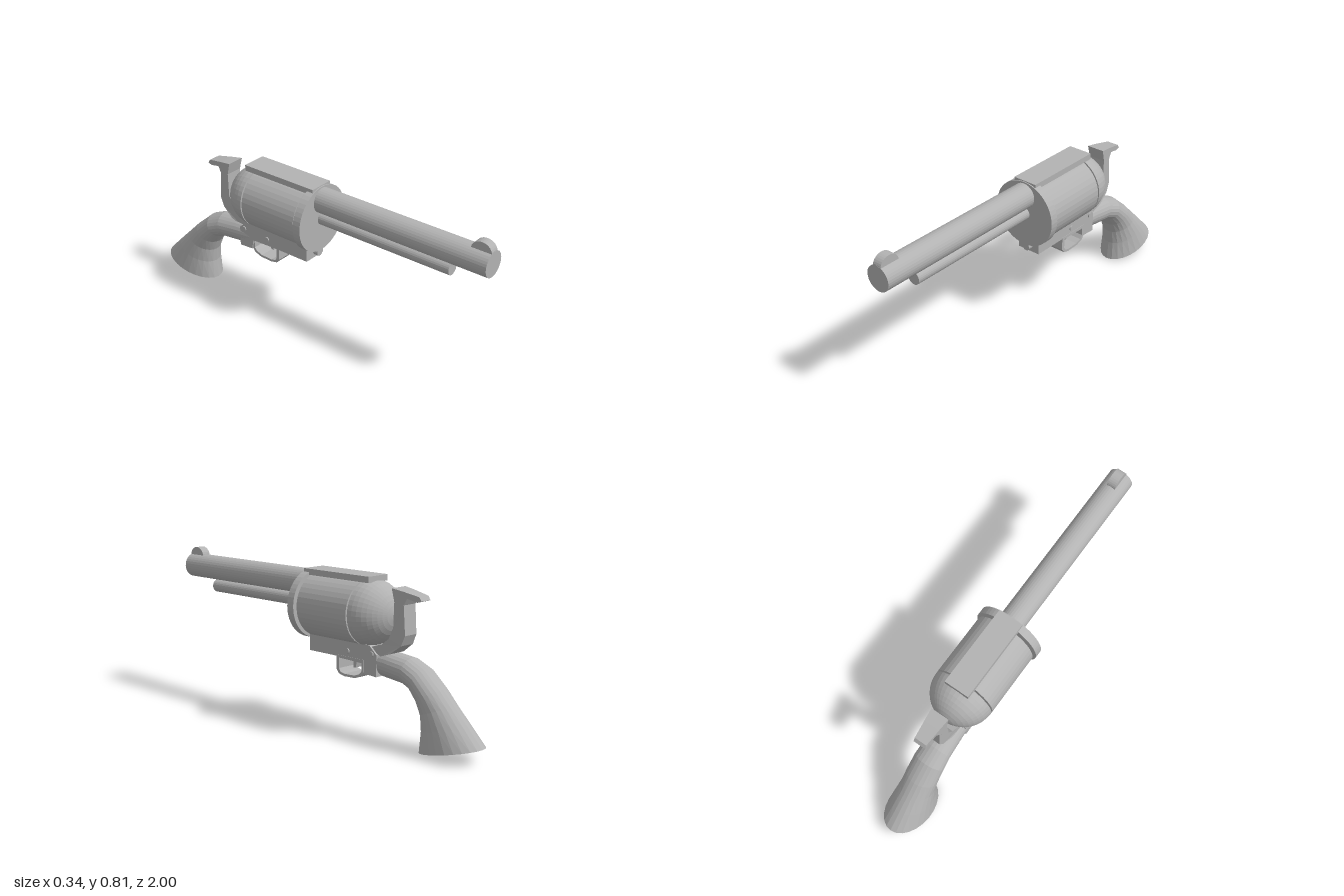
import * as THREE from 'three';

const steel = new THREE.MeshStandardMaterial({ color: 0xb2b2b2, flatShading: true });
steel.name = 'grey steel';

export function createModel() {
  const model = new THREE.Group();
  model.name = 'revolver';

  const add = (name, geometry) => {
    const mesh = new THREE.Mesh(geometry, steel);
    mesh.name = name;
    model.add(mesh);
    return mesh;
  };

  // round bar along z between two z values
  const bar = (name, r, y, z0, z1, sides = 32) =>
    add(name, new THREE.CylinderGeometry(r, r, z1 - z0, sides).rotateX(Math.PI / 2).translate(0, y, (z0 + z1) / 2));

  // side profile of [z, y] points given a width across x
  const toPoints = (list) => list.map(([z, y]) => new THREE.Vector2(z, y));
  const slab = (name, outline, x0, x1, hole) => {
    const shape = new THREE.Shape(toPoints(outline));
    if (hole) shape.holes.push(new THREE.Path(toPoints(hole)));
    const g = new THREE.ExtrudeGeometry(shape, { depth: x1 - x0, bevelEnabled: false });
    return add(name, g.rotateY(-Math.PI / 2).translate(x1, 0, 0));
  };

  // barrel, rod and drum
  bar('barrel', 0.064, 0.708, 0.03, 1);
  bar('ejectorRod', 0.034, 0.611, 0.03, 0.8, 24);
  bar('frontFlange', 0.172, 0.607, 0.016, 0.058, 48);
  bar('drum', 0.16, 0.607, -0.323, 0.005, 40);
  bar('drumAxle', 0.045, 0.607, -0.34, 0.03, 20);
  bar('framePin', 0.02, 0.412, 0, 0.045, 16);

  // rounded recoil shield behind the drum
  const dome = [];
  for (let i = 0; i <= 10; i++) {
    const a = (i / 10) * Math.PI / 2;
    dome.push(new THREE.Vector2(0.16 * Math.cos(a), 0.16 * Math.sin(a)));
  }
  dome[10].x = 0;
  dome.unshift(new THREE.Vector2(0, 0));
  add('recoilShield', new THREE.LatheGeometry(dome, 40).rotateX(-Math.PI / 2).translate(0, 0.607, -0.331));

  // strap over the drum
  add('topStrap', new THREE.BoxGeometry(0.13, 0.03, 0.43).translate(0, 0.768, -0.163));

  // half-round front sight
  const sight = [];
  for (let i = 0; i <= 14; i++) {
    const a = (i / 14) * Math.PI;
    sight.push([0.948 + 0.052 * Math.cos(a), 0.765 + 0.045 * Math.sin(a)]);
  }
  slab('frontSight', [...sight, [0.896, 0.75], [1, 0.75]], -0.023, 0.023);

  // lower frame
  slab('lowerFrame', [
    [0.018, 0.46], [0.018, 0.378], [-0.17, 0.378], [-0.335, 0.372], [-0.345, 0.32],
    [-0.425, 0.315], [-0.425, 0.42], [-0.38, 0.46],
  ], -0.07, 0.058);

  // trigger guard loop and trigger
  slab('triggerGuard', [
    [-0.168, 0.385], [-0.168, 0.315], [-0.185, 0.294], [-0.22, 0.286], [-0.29, 0.288],
    [-0.33, 0.302], [-0.347, 0.325], [-0.347, 0.385],
  ], -0.063, 0.06, [
    [-0.185, 0.372], [-0.333, 0.368], [-0.333, 0.328], [-0.318, 0.311], [-0.285, 0.3],
    [-0.22, 0.298], [-0.195, 0.304], [-0.185, 0.32],
  ]);
  slab('trigger', [
    [-0.235, 0.385], [-0.243, 0.35], [-0.245, 0.325], [-0.258, 0.328], [-0.264, 0.355], [-0.268, 0.385],
  ], -0.02, 0.02);

  // cross pins showing on both sides of the frame
  for (const [z, y] of [[-0.24, 0.412], [-0.395, 0.42]]) {
    add('crossPin', new THREE.CylinderGeometry(0.013, 0.013, 0.14, 14).rotateZ(Math.PI / 2).translate(-0.006, y, z));
  }

  // hammer, narrowing towards the thumb spur
  const hammer = slab('hammer', [
    [-0.505, 0.742], [-0.57, 0.732], [-0.655, 0.716], [-0.668, 0.697], [-0.645, 0.69], [-0.59, 0.702],
    [-0.572, 0.67], [-0.582, 0.53], [-0.56, 0.48], [-0.5, 0.435], [-0.44, 0.415], [-0.375, 0.45],
    [-0.45, 0.475], [-0.49, 0.505], [-0.516, 0.56], [-0.52, 0.68],
  ], -1, 1);
  const hp = hammer.geometry.attributes.position;
  for (let i = 0; i < hp.count; i++) {
    const t = THREE.MathUtils.clamp((-hp.getZ(i) - 0.5) / 0.168, 0, 1);
    hp.setX(i, hp.getX(i) * THREE.MathUtils.lerp(0.048, 0.031, t));
  }

  // grip: oval sections as [top z, top y, bottom z, bottom y, half width]
  const sections = [
    [-0.36, 0.44, -0.35, 0.322, 0.062],
    [-0.475, 0.438, -0.46, 0.307, 0.068],
    [-0.59, 0.425, -0.56, 0.298, 0.075],
    [-0.675, 0.387, -0.605, 0.28, 0.081],
    [-0.77, 0.305, -0.64, 0.233, 0.083],
    [-0.835, 0.24, -0.663, 0.175, 0.085],
    [-0.91, 0.165, -0.67, 0.1, 0.097],
    [-0.997, 0.076, -0.66, 0, 0.113],
  ];
  const N = 24, pos = [], index = [];
  sections.forEach(([tz, ty, bz, by, w]) => {
    for (let j = 0; j < N; j++) {
      const a = (j / N) * Math.PI * 2, c = Math.cos(a) / 2;
      pos.push(-0.008 + w * Math.sin(a), (ty + by) / 2 + (ty - by) * c, (tz + bz) / 2 + (tz - bz) * c);
    }
  });
  const last = (sections.length - 1) * N;
  for (let j = 0; j < N; j++) {
    const k = (j + 1) % N;
    for (let r = 0; r < last; r += N) index.push(r + j, r + k, r + N + j, r + k, r + N + k, r + N + j);
    if (j > 0 && j < N - 1) index.push(0, k, j, last, last + j, last + k);
  }
  const grip = new THREE.BufferGeometry();
  grip.setAttribute('position', new THREE.Float32BufferAttribute(pos, 3));
  grip.setIndex(index);
  grip.computeVertexNormals();
  add('grip', grip);

  return model;
}
